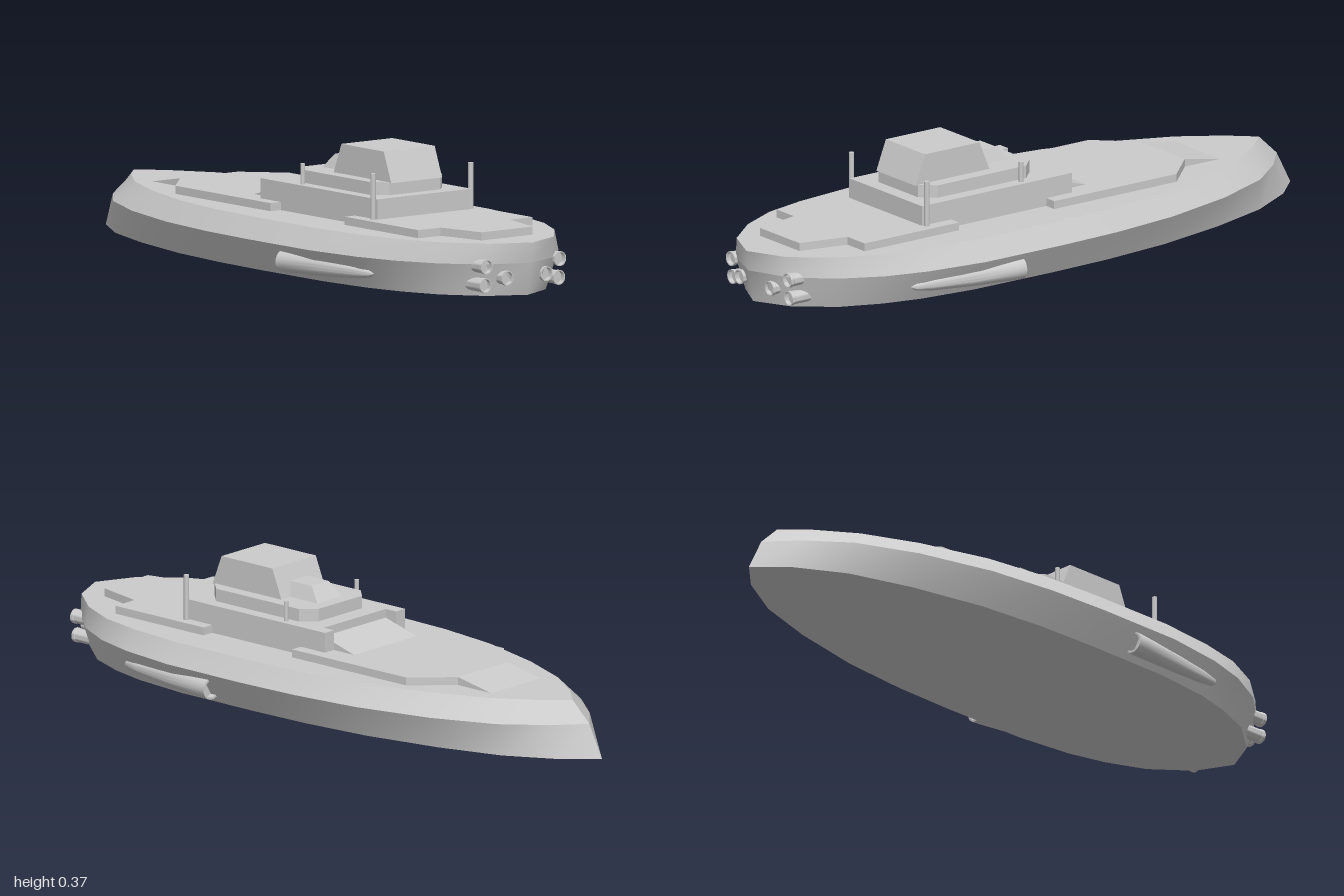
import * as THREE from 'three';
import { toCreasedNormals } from 'three/addons/utils/BufferGeometryUtils.js';

const mat = new THREE.MeshStandardMaterial({ color: 0xcccccc });
const hollowMat = new THREE.MeshStandardMaterial({ color: 0xcccccc, side: THREE.DoubleSide });

function part(parent, name, geometry, material = mat) {
  const mesh = new THREE.Mesh(geometry, material);
  mesh.name = name;
  parent.add(mesh);
  return mesh;
}

// Half outline [x, z] from bow to stern, completed by its mirror image.
const mirrored = half => [
  ...half, ...half.slice().reverse().map(([x, z]) => [-x, z]),
].filter(([x, z], i, a) => !i || x !== a[i - 1][0] || z !== a[i - 1][1]);

// Upright slab from a mirrored half outline.
function slab(half, y0, y1) {
  const shape = new THREE.Shape(mirrored(half).map(([x, z]) => new THREE.Vector2(x, -z)));
  const g = new THREE.ExtrudeGeometry(shape, { depth: y1 - y0, bevelEnabled: false });
  return g.rotateX(-Math.PI / 2).translate(0, y0, 0);
}

// Side profile [z, y] extruded across the ship.
function crosswise(profile, halfWidth) {
  const shape = new THREE.Shape(profile.map(p => new THREE.Vector2(...p)));
  const g = new THREE.ExtrudeGeometry(shape, { depth: halfWidth * 2, bevelEnabled: false });
  return g.translate(0, 0, -halfWidth).rotateY(-Math.PI / 2);
}

// Smooth strip between two rings of the hull.
function strip(lower, upper) {
  const pos = [], index = [];
  lower.forEach((p, i) => pos.push(...p, ...upper[i]));
  for (let i = 0; i < lower.length - 1; i++) {
    const a = i * 2;
    index.push(a, a + 1, a + 2, a + 1, a + 3, a + 2);
  }
  const g = new THREE.BufferGeometry();
  g.setAttribute('position', new THREE.Float32BufferAttribute(pos, 3));
  g.setIndex(index);
  g.computeVertexNormals();
  return g;
}

// Flat fan closing a ring.
function cap(ring, up) {
  const pos = [];
  const c = [0, ring[0][1], 0];
  for (let i = 0; i < ring.length - 1; i++) {
    pos.push(...c, ...(up ? ring[i + 1] : ring[i]), ...(up ? ring[i] : ring[i + 1]));
  }
  const g = new THREE.BufferGeometry();
  g.setAttribute('position', new THREE.Float32BufferAttribute(pos, 3));
  g.computeVertexNormals();
  return g;
}

function buildHull(parent) {
  const hull = new THREE.Group();
  hull.name = 'hull';
  const keel = [[0, -1], [0.085, -0.91], [0.17, -0.757], [0.23, -0.56], [0.278, -0.32], [0.298, -0.1],
    [0.303, 0.1], [0.3, 0.39], [0.28, 0.57], [0.25, 0.69], [0.2, 0.81], [0.11, 0.92], [0, 0.975]];
  const belt = [[0, -0.95], [0.09, -0.87], [0.185, -0.75], [0.265, -0.56], [0.325, -0.32], [0.35, -0.1],
    [0.357, 0.1], [0.355, 0.39], [0.328, 0.58], [0.29, 0.71], [0.225, 0.835], [0.13, 0.94], [0, 0.993]];
  const deck = [[0, -0.885], [0.07, -0.81], [0.15, -0.69], [0.222, -0.52], [0.285, -0.3], [0.312, -0.1],
    [0.32, 0.1], [0.32, 0.39], [0.3, 0.575], [0.27, 0.71], [0.21, 0.835], [0.12, 0.945], [0, 1]];
  const ring = (half, y) => {
    const r = mirrored(half).map(([x, z]) => [x, y, z]);
    // The bow point closes the loop
    const last = r[r.length - 1];
    if (last[0] !== 0) r.push([...r[0]]);
    return r;
  };
  const [low, mid, top] = [ring(keel, 0), ring(belt, 0.097), ring(deck, 0.158)];
  part(hull, 'lowerHull', strip(low, mid));
  part(hull, 'upperHull', strip(mid, top));
  part(hull, 'mainDeck', cap(top, true));
  part(hull, 'hullBottom', cap(low, false));
  parent.add(hull);
}

// Hollow-ended tube along +z, its mouth at z = 0.
function nozzle(r, length) {
  const pts = [[r * 0.92, -length], [r * 0.92, -0.012], [r, -0.01], [r, 0], [r * 0.85, 0], [r * 0.85, -0.015], [0, -0.015]]
    .map(p => new THREE.Vector2(...p));
  return toCreasedNormals(new THREE.LatheGeometry(pts, 24), 0.6).rotateX(Math.PI / 2);
}

export function createModel() {
  const ship = new THREE.Group();
  ship.name = 'ship';
  buildHull(ship);

  // Raised deck plates
  part(ship, 'bowPlate', slab([[0.108, -0.53], [0.213, -0.42], [0.213, 0.03]], 0.15, 0.182));
  part(ship, 'bowRamp', crosswise([[-0.66, 0.158], [-0.53, 0.158], [-0.53, 0.182]], 0.108));
  part(ship, 'sternPlate', slab([[0.213, 0.38], [0.213, 0.727], [0.13, 0.727], [0.095, 0.877]], 0.15, 0.182));

  // Superstructure, with a recess between two short arms facing the bow
  part(ship, 'deckhouse', slab([[0, -0.025], [0.135, -0.025], [0.135, -0.065], [0.175, -0.065], [0.175, 0.487]], 0.15, 0.242));
  part(ship, 'deckhouseRamp', crosswise([[-0.145, 0.182], [-0.025, 0.182], [-0.025, 0.216]], 0.136));
  part(ship, 'upperHouse', slab([[0.095, 0.032], [0.135, 0.074], [0.135, 0.4], [0.095, 0.442]], 0.24, 0.28));
  part(ship, 'bridge', crosswise([[0.178, 0.278], [0.45, 0.278], [0.415, 0.368], [0.215, 0.368]], 0.095));

  // Small tapered housing in front of the bridge
  const housing = new THREE.BoxGeometry(0.11, 0.044, 0.13);
  const p = housing.attributes.position;
  for (let i = 0; i < p.count; i++) {
    if (p.getY(i) < 0) continue;
    p.setX(i, p.getX(i) * 0.68);
    if (p.getZ(i) < 0) p.setZ(i, -0.025);
  }
  housing.computeVertexNormals();
  part(ship, 'housing', housing.translate(0, 0.3, 0.137));

  for (const [sideName, s] of [['left', 1], ['right', -1]]) {
    // Masts
    for (const [name, x, z, y0, y1, r] of [
      ['TallMast', 0.182, 0.475, 0.182, 0.318, 0.008],
      ['ShortMast', 0.154, 0.107, 0.242, 0.303, 0.007],
    ]) {
      part(ship, sideName + name, new THREE.CylinderGeometry(r, r, y1 - y0, 12))
        .position.set(s * x, (y0 + y1) / 2, z);
    }

    // Stern nozzles
    for (const [name, x, y, z] of [
      ['UpperNozzle', 0.137, 0.092, 0.955],
      ['LowerNozzle', 0.137, 0.036, 0.95],
      ['InnerNozzle', 0.073, 0.055, 0.972],
    ]) {
      part(ship, sideName + name, nozzle(0.022, 0.08), hollowMat).position.set(s * x, y, z);
    }

    // Tapered side pod, pointed aft and open towards the bow
    const profile = [[0, 0], [0.026, 0], [0.026, -0.02], [0.033, -0.02], [0.033, 0.01], [0.028, 0.16], [0.02, 0.29], [0.012, 0.345], [0, 0.36]]
      .map(q => new THREE.Vector2(...q));
    const pod = part(ship, sideName + 'SidePod',
      toCreasedNormals(new THREE.LatheGeometry(profile, 20), 0.6).rotateX(Math.PI / 2), hollowMat);
    pod.position.set(s * 0.329, 0.047, 0.26);
    pod.rotation.y = -s * 0.1;
  }
  return ship;
}
